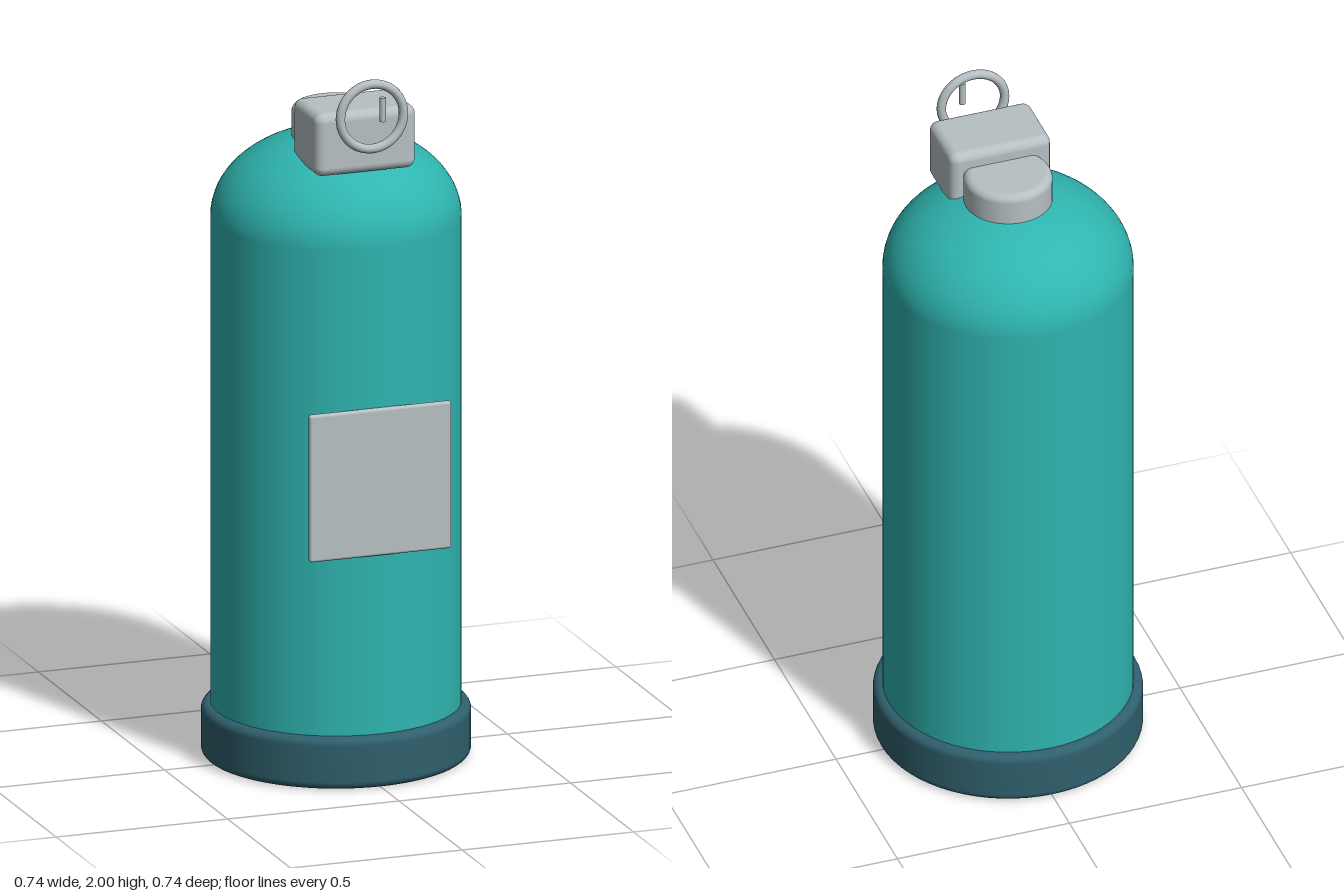
import * as THREE from 'three';
import { RoundedBoxGeometry } from 'three/addons/geometries/RoundedBoxGeometry.js';

const mat = (name, color) => {
  const m = new THREE.MeshStandardMaterial({ color });
  m.name = name;
  return m;
};

// Solid disc with rounded rims, from y0 to y1
function roundedDisc(radius, y0, y1, bevel, segments = 64) {
  const pts = [new THREE.Vector2(0, y0)];
  const steps = 6;
  for (const [cy, start] of [[y0 + bevel, -Math.PI / 2], [y1 - bevel, 0]]) {
    for (let i = 0; i <= steps; i++) {
      const a = start + (i / steps) * Math.PI / 2;
      pts.push(new THREE.Vector2(radius - bevel + Math.cos(a) * bevel, cy + Math.sin(a) * bevel));
    }
  }
  pts.push(new THREE.Vector2(0, y1));
  return new THREE.LatheGeometry(pts, segments);
}

export function createModel() {
  const group = new THREE.Group();
  const teal = mat('teal paint', 0x2fb5b0);
  const slate = mat('dark slate rubber', 0x2f606d);
  const grey = mat('light grey metal', 0xb6c0c3);

  const add = (name, geometry, material, x = 0, y = 0, z = 0) => {
    const mesh = new THREE.Mesh(geometry, material);
    mesh.name = name;
    mesh.position.set(x, y, z);
    group.add(mesh);
    return mesh;
  };

  // Base boot
  add('base', roundedDisc(0.37, 0, 0.148, 0.022), slate);

  // Cylinder wall and squashed dome
  const R = 0.344;
  const bodyBottom = 0.1, seam = 1.535;
  add('body', new THREE.CylinderGeometry(R, R, seam - bodyBottom, 64, 1, true), teal, 0, (seam + bodyBottom) / 2, 0);
  const dome = new THREE.SphereGeometry(R, 64, 20, 0, Math.PI * 2, 0, Math.PI / 2);
  dome.scale(1, 0.245 / R, 1);
  add('dome', dome, teal, 0, seam, 0);

  // Neck cap and valve block
  add('neck', roundedDisc(0.122, 1.74, 1.853, 0.022, 48), grey);
  add('valveBlock', new RoundedBoxGeometry(0.294, 0.18, 0.195, 5, 0.026), grey, 0, 1.81, 0.1475);

  // Pressure gauge: open ring and needle
  add('gaugeRing', new THREE.TorusGeometry(0.092, 0.013, 14, 48), grey, 0, 1.895, 0.285);
  add('gaugeNeedle', new THREE.CylinderGeometry(0.009, 0.009, 0.068, 12), grey, 0.024, 1.918, 0.305);

  // Front label plate
  add('label', new RoundedBoxGeometry(0.414, 0.42, 0.02, 3, 0.008), grey, 0, 0.87, 0.347);

  return group;
}
